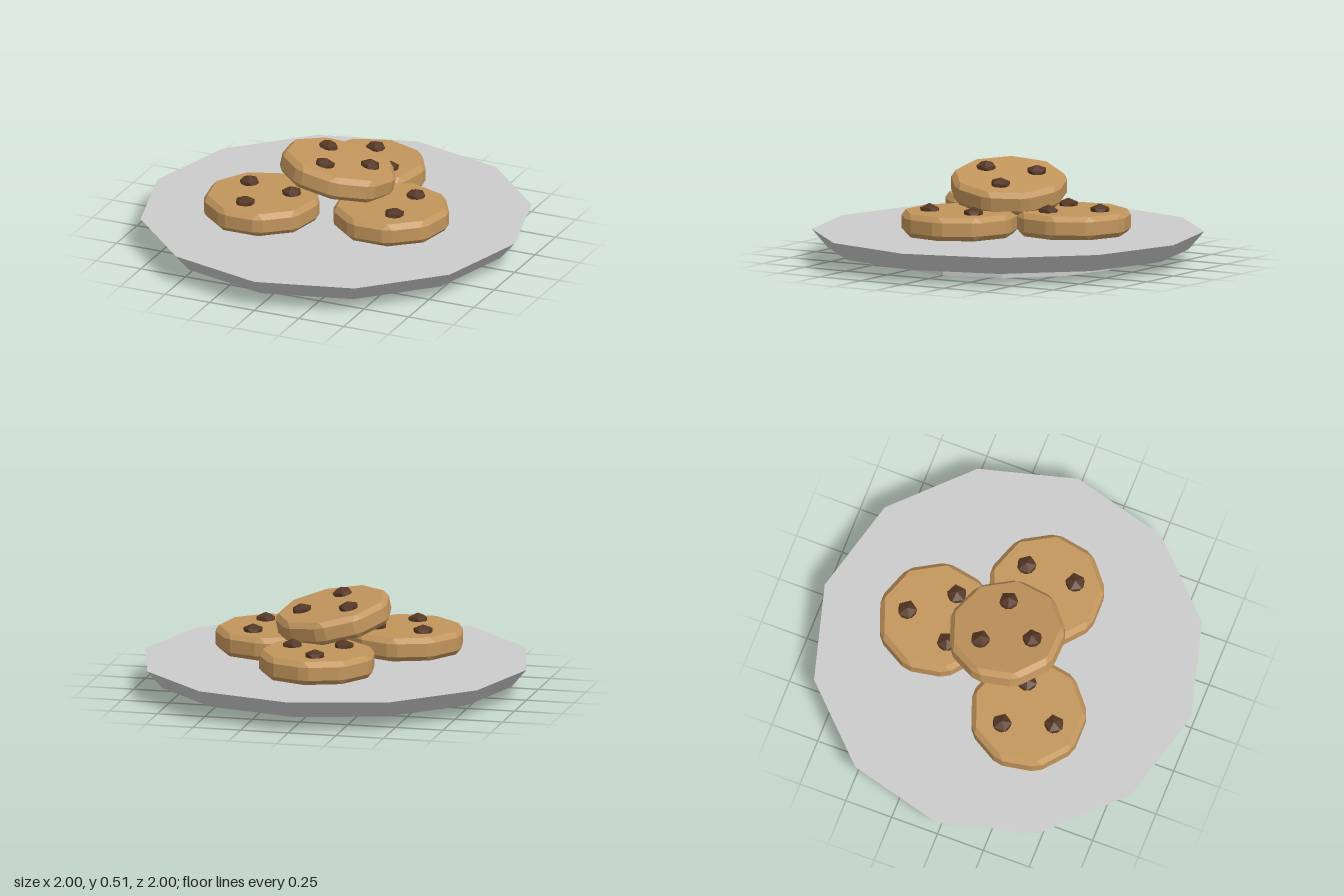
import * as THREE from 'three';
import { ConvexGeometry } from 'three/addons/geometries/ConvexGeometry.js';

const SIDES = 9;
const material = (color) => new THREE.MeshStandardMaterial({ color, flatShading: true });

// Nine-sided disc with bevelled rims and narrow bevels on its upright corners
function cookieGeometry(radius, height, bevel) {
  const points = [];
  const corner = (r, i, y) => {
    const a = Math.PI + (i / SIDES) * Math.PI * 2;
    return new THREE.Vector3(r * Math.sin(a), y, r * Math.cos(a));
  };
  for (const s of [-1, 1]) {
    const rim = s * height / 2, shoulder = s * (height / 2 - bevel);
    for (let i = 0; i < SIDES; i++) {
      points.push(corner(radius - bevel, i, rim));
      const c = corner(radius, i, shoulder);
      for (const d of [-1, 1]) points.push(c.clone().lerp(corner(radius, i + d, shoulder), 0.14));
    }
  }
  return new ConvexGeometry(points);
}

export function createModel() {
  const model = new THREE.Group();
  model.name = 'plateOfCookies';
  const grey = material(0xcccccc), dough = material(0xc2955c), chocolate = material(0x553724);

  const add = (parent, name, geometry, mat, x, y, z) => {
    const mesh = new THREE.Mesh(geometry, mat);
    mesh.name = name;
    mesh.position.set(x, y, z);
    parent.add(mesh);
    return mesh;
  };

  // Plate and its foot ring
  add(model, 'plate', new THREE.CylinderGeometry(1, 0.92, 0.093, 12), grey, 0, 0.1115, 0);
  add(model, 'plateFoot', new THREE.CylinderGeometry(0.615, 0.615, 0.065, 12), grey, 0, 0.0325, 0);

  // Shared cookie and chip shapes; the chip has a corner pointing up
  const height = 0.12;
  const disc = cookieGeometry(0.305, height, 0.026);
  const chip = new THREE.IcosahedronGeometry(0.056, 0).rotateZ(-Math.atan(2 / (1 + Math.sqrt(5)))).scale(1, 0.7, 1);

  // Three cookies lying flat and one leaning on top of them
  const cookies = [
    { name: 'backCookie', at: [0, 0.235, -0.391], chips: [[-0.025, -0.149], [0.145, 0.056], [-0.115, 0.1]] },
    { name: 'rightCookie', at: [-0.31, 0.235, 0.228], chips: [[-0.115, -0.098], [-0.025, 0.152], [0.14, -0.058]] },
    { name: 'leftCookie', at: [0.345, 0.235, 0.074], chips: [[0.075, -0.134], [0.075, 0.131], [-0.15, 0]] },
    { name: 'topCookie', at: [0.008, 0.388, -0.01], tilt: [-0.122, 0, -0.17],
      chips: [[-0.115, -0.095], [-0.02, 0.152], [0.148, -0.045]] },
  ];
  for (const { name, at, tilt = [0, 0, 0], chips } of cookies) {
    const cookie = new THREE.Group();
    cookie.name = name;
    cookie.position.set(...at);
    cookie.rotation.set(...tilt);
    add(cookie, 'dough', disc, dough, 0, 0, 0);
    chips.forEach(([x, z], i) => {
      add(cookie, 'chocolateChip', chip, chocolate, x, height / 2, z).rotation.y = i * 0.5;
    });
    model.add(cookie);
  }
  return model;
}
